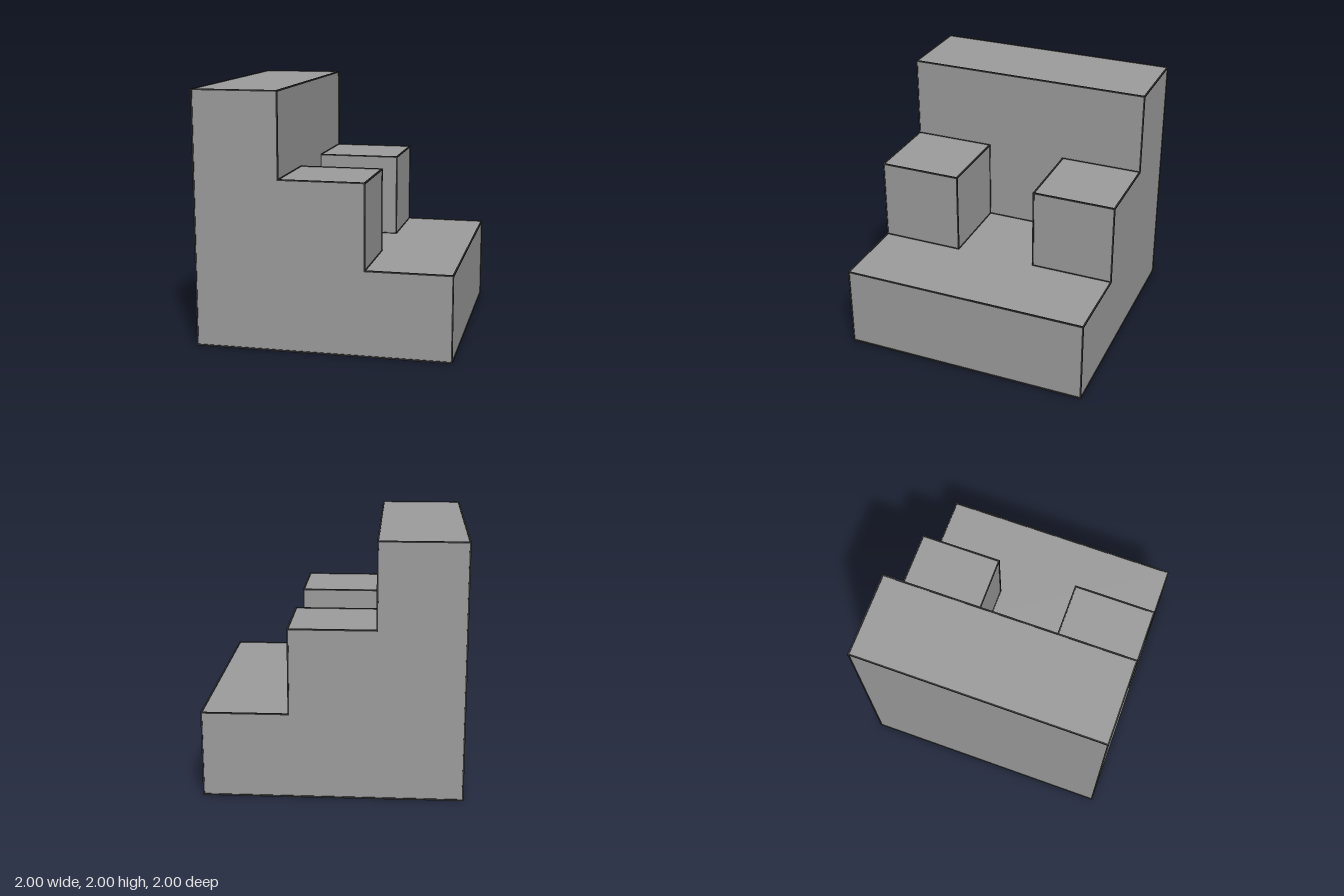
import * as THREE from 'three';

const RADIUS = 0.006; // half thickness of the edge trim
const UNIT = (2 - 2 * RADIUS) / 3; // the solid sits on a 3 x 3 x 3 grid of cubes

// Grid coordinates (0 to 3 on each axis) to model space
const place = (x, y, z) =>
  new THREE.Vector3((x - 1.5) * UNIT, y * UNIT + RADIUS, (z - 1.5) * UNIT);

export function createModel() {
  const model = new THREE.Group();
  model.name = 'blockSeat';
  const grey = new THREE.MeshStandardMaterial({ color: 0x9d9d9d, flatShading: true });
  const dark = new THREE.MeshStandardMaterial({ color: 0x333333, flatShading: true });

  // Seat and tall back: one L-shaped profile running the full depth
  const profile = new THREE.Shape(
    [[0, 0], [3, 0], [3, 1], [1, 1], [1, 3], [0, 3]].map(([x, y]) => {
      const p = place(x, y, 0);
      return new THREE.Vector2(p.x, p.y);
    })
  );
  const bodyGeometry = new THREE.ExtrudeGeometry(profile, { depth: 3 * UNIT, bevelEnabled: false });
  bodyGeometry.translate(0, 0, -1.5 * UNIT);
  const body = new THREE.Mesh(bodyGeometry, grey);
  body.name = 'seatAndBack';
  model.add(body);

  // Cube armrests at both ends of the seat
  for (const side of [1, -1]) {
    const arm = new THREE.Mesh(new THREE.BoxGeometry(UNIT, UNIT, UNIT), grey);
    arm.name = side > 0 ? 'frontArmrest' : 'rearArmrest';
    arm.position.copy(place(1.5, 1.5, 1.5 + side));
    model.add(arm);
  }

  // Thin square trim along every edge
  const trim = new THREE.Group();
  trim.name = 'edgeTrim';
  model.add(trim);
  function addTrim(from, to) {
    const a = place(...from);
    const b = place(...to);
    const size = b.clone().sub(a);
    const strip = new THREE.Mesh(
      new THREE.BoxGeometry(...size.toArray().map((v) => Math.abs(v) + 2 * RADIUS)), dark
    );
    strip.name = 'edgeStrip';
    strip.position.copy(a).add(b).multiplyScalar(0.5);
    trim.add(strip);
  }
  function addLoop(corners, z) {
    corners.forEach(([x, y], i) => {
      const next = corners[(i + 1) % corners.length];
      addTrim([x, y, z], [...next, z]);
    });
  }

  // Stepped outlines on the two ends, square outlines on the inner arm faces
  const steps = [[0, 0], [3, 0], [3, 1], [2, 1], [2, 2], [1, 2], [1, 3], [0, 3]];
  for (const z of [0, 3]) addLoop(steps, z);
  for (const z of [1, 2]) addLoop([[1, 1], [2, 1], [2, 2], [1, 2]], z);

  // Edges running front to back: full length, arms, and the seat corner
  for (const [x, y] of [[0, 0], [3, 0], [3, 1], [1, 3], [0, 3]]) addTrim([x, y, 0], [x, y, 3]);
  for (const [x, y] of [[2, 1], [2, 2], [1, 2]]) {
    for (const z of [0, 2]) addTrim([x, y, z], [x, y, z + 1]);
  }
  addTrim([1, 1, 1], [1, 1, 2]);
  return model;
}
